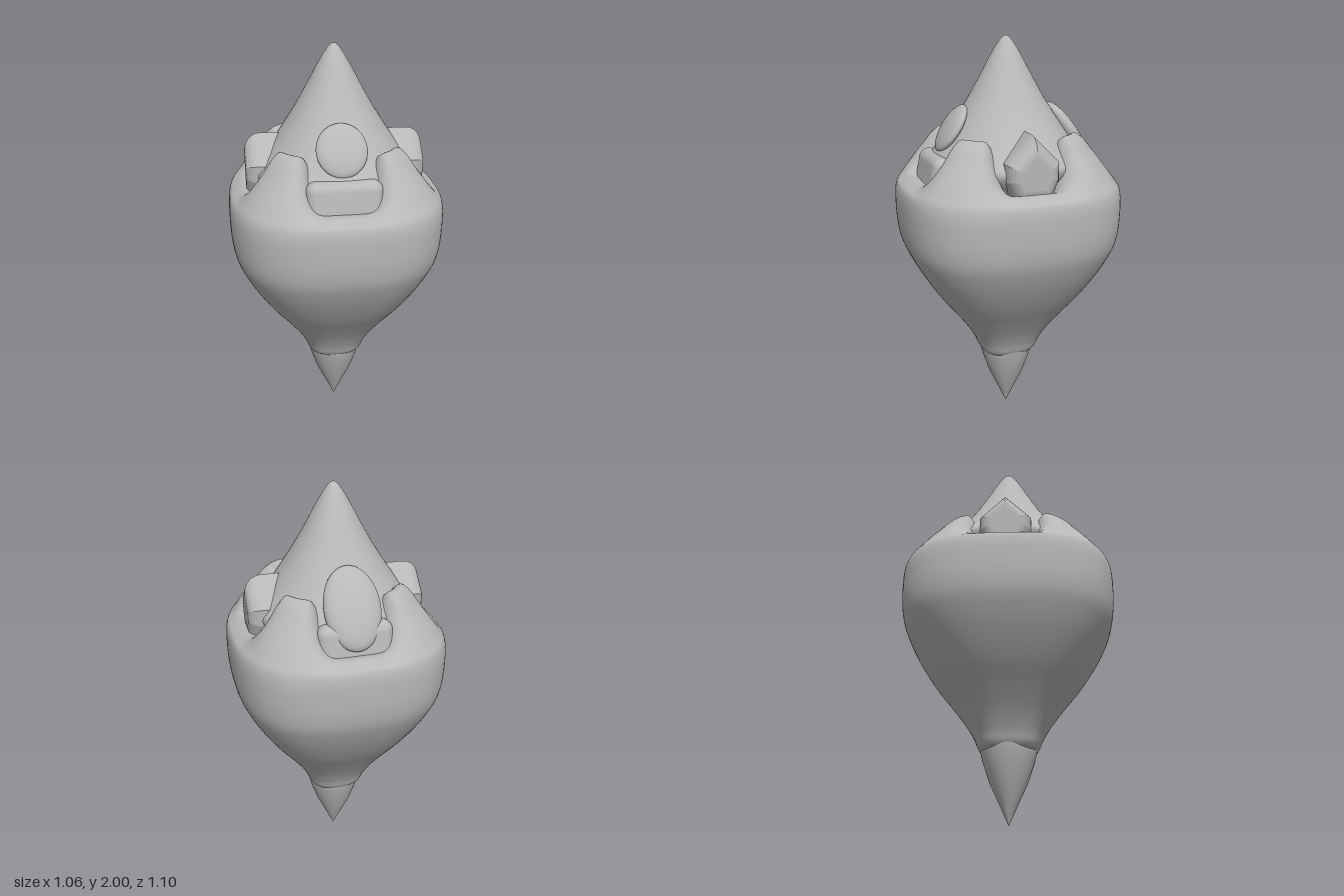
import * as THREE from 'three';
import { RoundedBoxGeometry } from 'three/addons/geometries/RoundedBoxGeometry.js';

const stone = new THREE.MeshStandardMaterial({ color: 0xb8b8b8 });
stone.name = 'pale grey';

function add(parent, geometry, name) {
  const mesh = new THREE.Mesh(geometry, stone);
  mesh.name = name;
  parent.add(mesh);
  return mesh;
}

// Spindle with a pointed top and bottom, running through the husk
function coreGeometry() {
  const profile = [
    [0, 0], [0.046, 0.1], [0.092, 0.2], [0.126, 0.3], [0.141, 0.36], [0.15, 0.42], [0.15, 0.5],
    [0.2, 0.8], [0.3, 1.25], [0.37, 1.33], [0.395, 1.37], [0.402, 1.395], [0.395, 1.415],
    [0.37, 1.445], [0.32, 1.505], [0.255, 1.6], [0.19, 1.7], [0.133, 1.8], [0.085, 1.89],
    [0.05, 1.95], [0.025, 1.985], [0.01, 1.997], [0, 2],
  ].map(([r, y]) => new THREE.Vector2(r, y));
  return new THREE.LatheGeometry(profile, 64);
}

// Squarish bulb: each row is radius, height at mid-side, height at corner
function huskGeometry() {
  const rows = [
    [0.1, 0.33, 0.33], [0.138, 0.36, 0.36], [0.165, 0.42, 0.42], [0.21, 0.5, 0.5],
    [0.28, 0.6, 0.6], [0.355, 0.7, 0.7], [0.42, 0.8, 0.8], [0.475, 0.9, 0.9],
    [0.515, 1, 1], [0.53, 1.15, 1.15], [0.52, 1.275, 1.275],
    [0.49, 1.3, 1.325], [0.45, 1.315, 1.385], [0.395, 1.3, 1.46],
    [0.35, 1.26, 1.52], [0.31, 1.21, 1.545], [0.265, 1.15, 1.5], [0.2, 1.1, 1.34],
  ];
  const curve = new THREE.CatmullRomCurve3(rows.map(r => new THREE.Vector3(...r)));
  const sides = 128, steps = 85, power = 2.75;
  const positions = [], index = [];
  for (let j = 0; j <= steps; j++) {
    const p = curve.getPoint(j / steps);
    for (let i = 0; i < sides; i++) {
      const a = (i / sides) * Math.PI * 2, s = Math.sin(a), c = Math.cos(a);
      const k = p.x / Math.pow(Math.abs(s) ** power + Math.abs(c) ** power, 1 / power);
      const corner = THREE.MathUtils.smoothstep(Math.sin(2 * a) ** 2, 0.2, 0.9);
      positions.push(s * k, THREE.MathUtils.lerp(p.y, p.z, corner), c * k * 1.035);
      if (j < steps) {
        const n = (i + 1) % sides, b = j * sides, t = b + sides;
        index.push(b + i, b + n, t + n, b + i, t + n, t + i);
      }
    }
  }
  const geometry = new THREE.BufferGeometry();
  geometry.setAttribute('position', new THREE.Float32BufferAttribute(positions, 3));
  geometry.setIndex(index);
  geometry.computeVertexNormals();
  return geometry;
}

// Gabled stud with a rounded end, pointing along +x
function studGeometry() {
  const shape = new THREE.Shape();
  shape.moveTo(-0.05, 1.33);
  shape.lineTo(0.05, 1.33);
  shape.lineTo(0.07, 1.38);
  shape.lineTo(0.07, 1.425);
  shape.lineTo(0, 1.495);
  shape.lineTo(-0.07, 1.425);
  shape.lineTo(-0.07, 1.38);
  const geometry = new THREE.ExtrudeGeometry(shape, {
    depth: 0.2, bevelEnabled: true, bevelThickness: 0.08, bevelSize: 0.06, bevelSegments: 6,
  });
  geometry.translate(0, 0, 0.16);
  geometry.rotateY(Math.PI / 2);
  return geometry;
}

export function createModel() {
  const group = new THREE.Group();
  group.name = 'pointedBulb';
  add(group, coreGeometry(), 'core');
  add(group, huskGeometry(), 'husk');

  // Gabled studs in the left and right notches
  const stud = studGeometry();
  add(group, stud, 'leftStud');
  add(group, stud, 'rightStud').rotation.y = Math.PI;

  // Rounded blocks, tilted outward, in the front and back notches
  const block = new RoundedBoxGeometry(0.36, 0.28, 0.2, 6, 0.05);
  for (const side of [1, -1]) {
    const mesh = add(group, block, side > 0 ? 'frontBlock' : 'backBlock');
    mesh.position.set(0, 1.3, side * 0.335);
    mesh.rotation.x = side * -0.2;
  }

  // Swellings that run down the cone towards the blocks
  const ball = new THREE.SphereGeometry(1, 40, 28);
  const front = add(group, ball, 'frontSwelling');
  front.position.set(0, 1.565, 0.283);
  front.scale.set(0.12, 0.13, 0.035);
  front.rotation.x = -0.58;
  const back = add(group, ball, 'backSwelling');
  back.position.set(0, 1.5, -0.328);
  back.scale.set(0.135, 0.2, 0.055);
  back.rotation.x = 0.58;
  return group;
}
